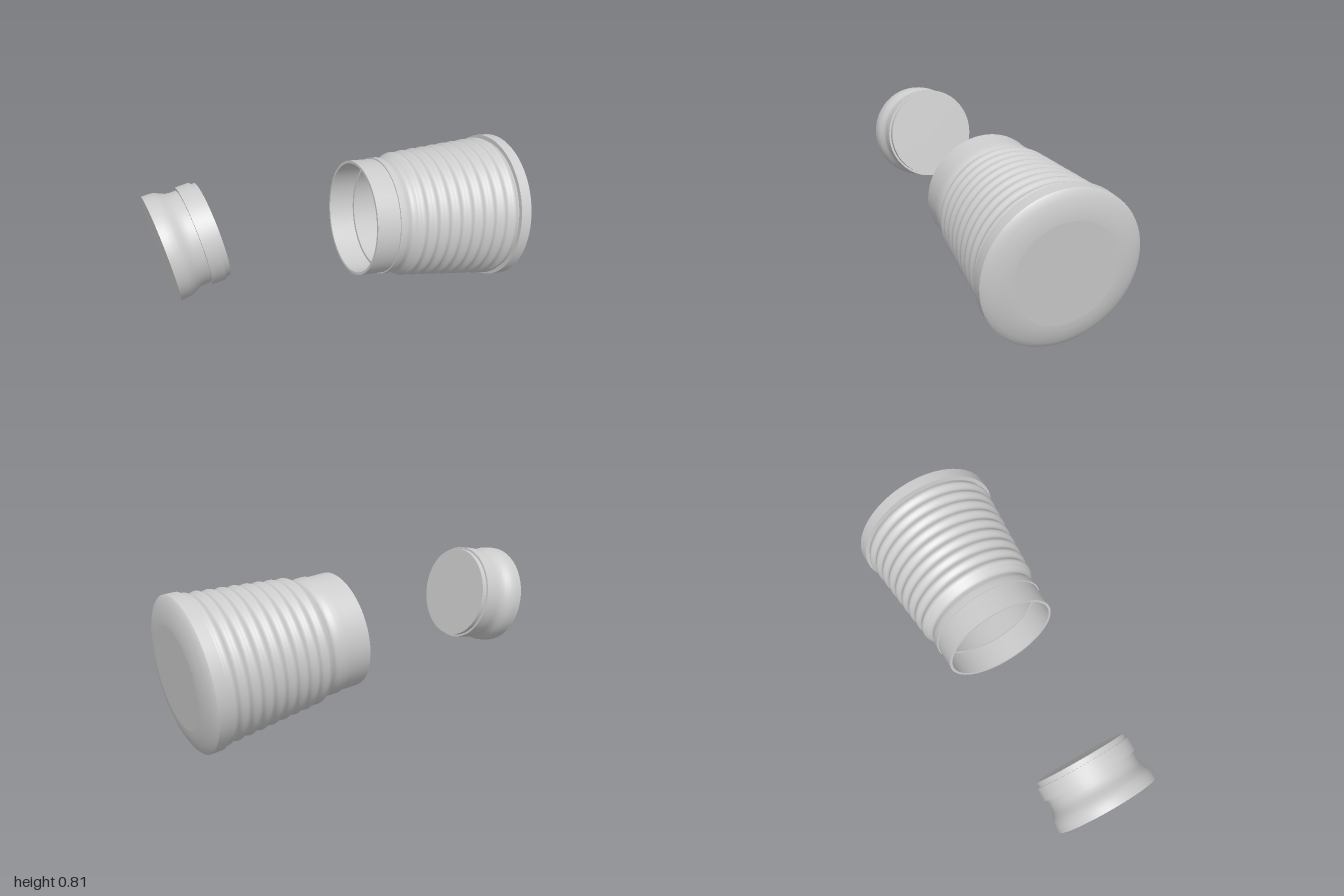
import * as THREE from 'three';

const SEGMENTS = 64;

// Each run is a smooth-shaded stretch of [radius, distance along axis]; edges between runs stay sharp.
function turnedPart(name, runs, material) {
  const group = new THREE.Group();
  group.name = name;
  for (const [runName, points] of Object.entries(runs)) {
    const profile = points.map(([r, s]) => new THREE.Vector2(r, s));
    const mesh = new THREE.Mesh(new THREE.LatheGeometry(profile, SEGMENTS), material);
    mesh.name = runName;
    group.add(mesh);
  }
  return group;
}

// Tapering wall with evenly spaced ripples
function ripples(start, end, count) {
  const points = [];
  const steps = count * 8;
  for (let i = 0; i <= steps; i++) {
    const s = start + (end - start) * i / steps;
    const wave = 0.5 - 0.5 * Math.cos(i / 8 * Math.PI * 2);
    points.push([0.296 + 0.095 * s + 0.014 * wave, s]);
  }
  return points;
}

export function createModel() {
  const model = new THREE.Group();
  const grey = new THREE.MeshStandardMaterial({ color: 0xcccccc });
  grey.name = 'plain grey';

  // Hollow ribbed cup, mouth at distance 0
  const cup = turnedPart('cup', {
    innerFloor: [[0, 0.86], [0.355, 0.86]],
    innerWall: [[0.355, 0.86], [0.275, 0.14]],
    innerLedge: [[0.275, 0.14], [0.291, 0.14]],
    innerMouth: [[0.291, 0.14], [0.291, 0]],
    lip: [[0.291, 0], [0.305, 0]],
    collar: [[0.305, 0], [0.305, 0.128]],
    collarStep: [[0.305, 0.128], [0.312, 0.128]],
    ribbedWall: [[0.312, 0.128], [0.312, 0.16], [0.308, 0.175], [0.302, 0.19],
      [0.3, 0.205], ...ripples(0.22, 0.802, 9)],
    flangeUnderside: [[0.372, 0.802], [0.395, 0.802]],
    flangeRim: [[0.395, 0.802], [0.396, 0.862]],
    roundedBase: [[0.396, 0.862], [0.385, 0.872], [0.36, 0.884], [0.325, 0.895],
      [0.29, 0.902], [0.26, 0.904]],
    baseFace: [[0.26, 0.904], [0, 0.904]],
  }, grey);
  cup.position.set(0.072, 0.482, 0);
  cup.rotation.z = -Math.PI / 2 - 0.095;
  model.add(cup);

  // Solid stopper lying apart from the cup
  const stopper = turnedPart('stopper', {
    outerFace: [[0, 0], [0.267, 0]],
    grip: [[0.267, 0], [0.268, 0.03], [0.266, 0.055], [0.259, 0.075], [0.249, 0.095],
      [0.242, 0.112], [0.239, 0.135], [0.239, 0.166]],
    ringUnderside: [[0.239, 0.166], [0.254, 0.166]],
    ring: [[0.254, 0.166], [0.254, 0.236]],
    ringTop: [[0.254, 0.236], [0.243, 0.236]],
    plug: [[0.243, 0.236], [0.243, 0.263]],
    plugFace: [[0.243, 0.263], [0, 0.263]],
  }, grey);
  stopper.position.set(-0.948, 0.523, 0);
  stopper.rotation.z = -Math.PI / 2 + 0.197;
  model.add(stopper);

  return model;
}
